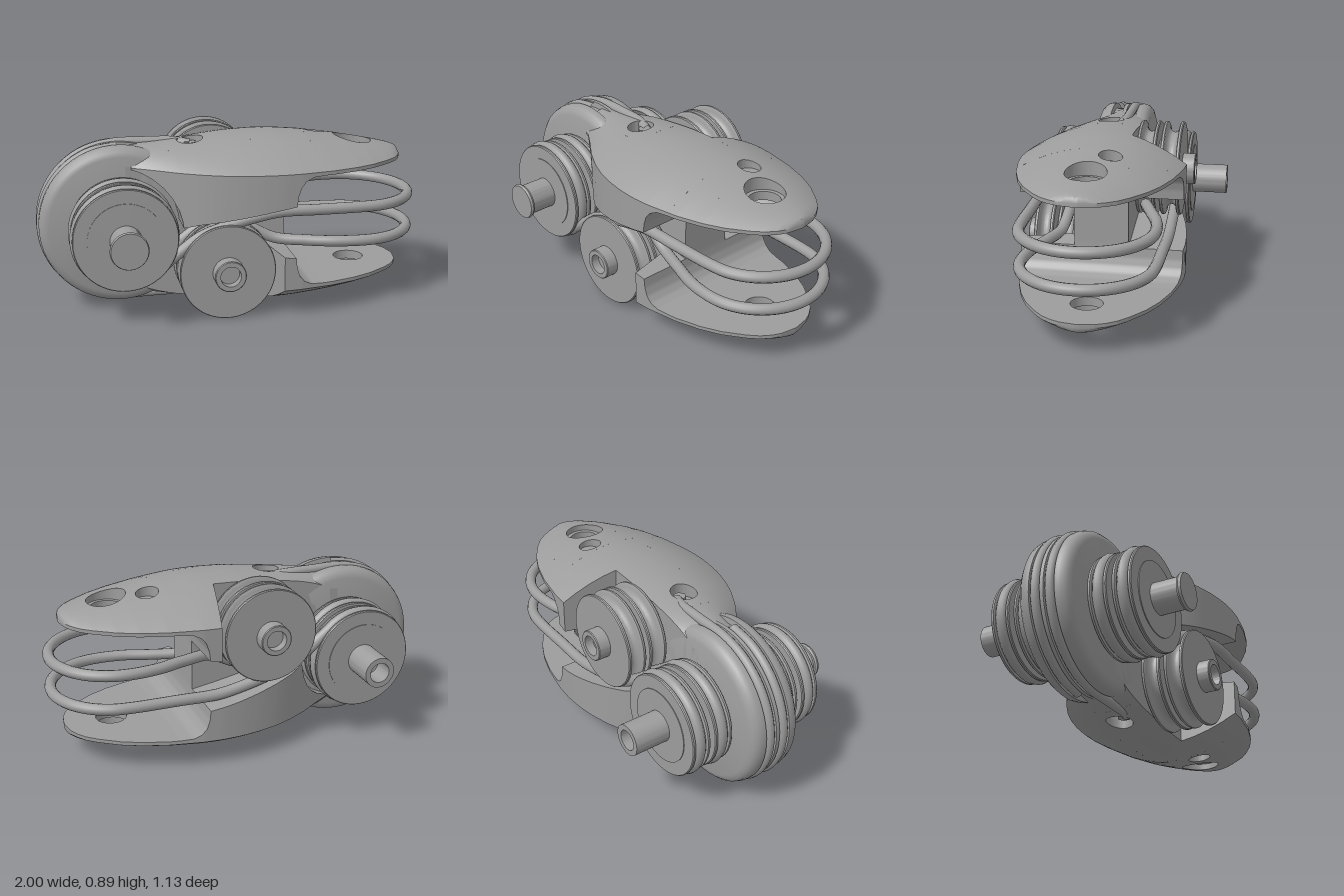
import * as THREE from 'three';
import { toCreasedNormals } from 'three/addons/utils/BufferGeometryUtils.js';

const MID = 0.445, HUB_X = -0.58, PULLEY_X = -0.07, PULLEY_Y = 0.645, SHIFT_Z = 0.0125;
const material = new THREE.MeshStandardMaterial({ color: 0x9d9d9d });

function add(parent, name, geometry, x = 0, y = 0, z = 0) {
  const mesh = new THREE.Mesh(geometry, material);
  mesh.name = name;
  mesh.position.set(x, y, z);
  parent.add(mesh);
}

// piecewise interpolation through [x, value] pairs
function curve(pairs) {
  return (x) => {
    if (x <= pairs[0][0]) return pairs[0][1];
    for (let i = 1; i < pairs.length; i++) {
      const [a, va] = pairs[i - 1], [b, vb] = pairs[i];
      if (x <= b) return va + ((vb - va) * (x - a)) / (b - a);
    }
    return pairs[pairs.length - 1][1];
  };
}

// shell outline seen from above, and its ridge height
const halfWidth = curve([[-0.6, 0.14], [-0.5, 0.15], [-0.4, 0.215], [-0.3, 0.285], [-0.19, 0.345], [-0.1, 0.38],
  [0, 0.406], [0.1, 0.421], [0.2, 0.425], [0.3, 0.417], [0.47, 0.385], [0.6, 0.343], [0.7, 0.295], [0.8, 0.225],
  [0.85, 0.18], [0.885, 0.13], [0.905, 0.085], [0.92, 0]]);
const ridge = curve([[-0.6, 0.835], [-0.4, 0.845], [-0.2, 0.862], [0, 0.881], [0.15, 0.886], [0.25, 0.884], [0.4, 0.87],
  [0.6, 0.84], [0.8, 0.803], [0.88, 0.785], [0.91, 0.772], [0.92, 0.75]]);
const BASE = 0.747, JAW = 0.728;
function topY(x, z) {
  const t = Math.min(1, Math.abs(z) / Math.max(halfWidth(x), 1e-4));
  return BASE + (ridge(x) - BASE) * (1 - t * t);
}

// skin over closed loops of points
function skin(rows, closed = false) {
  const n = rows[0].length, index = [];
  const last = closed ? rows.length : rows.length - 1;
  for (let i = 0; i < last; i++) {
    for (let j = 0; j < n; j++) {
      const a = i * n + j, b = i * n + ((j + 1) % n);
      const k = (i + 1) % rows.length, c = k * n + j, d = k * n + ((j + 1) % n);
      index.push(a, b, c, b, d, c);
    }
  }
  const g = new THREE.BufferGeometry();
  g.setAttribute('position', new THREE.Float32BufferAttribute(rows.flat(2), 3));
  g.setIndex(index);
  return toCreasedNormals(g, 0.5);
}

// strip of shell running along x, between two z limits and above a lower profile
function strip(profile, zLow, zHigh) {
  const stations = [];
  profile.forEach(([x, y], i) => {
    if (i) {
      const [px, py] = profile[i - 1];
      for (let s = 1; s < 4; s++) stations.push([px + ((x - px) * s) / 4, py + ((y - py) * s) / 4]);
    }
    stations.push([x, y]);
  });
  const N = 18;
  const section = ([x, yb], flat) => {
    const top = [], bottom = [];
    for (let j = 0; j <= N; j++) {
      const z = zLow(x) + (zHigh(x) - zLow(x)) * (0.5 - 0.5 * Math.cos((Math.PI * j) / N));
      const yt = Math.max(topY(x, z), yb + 0.002);
      top.push([x, flat ? (yt + yb) / 2 : yt, z]);
      bottom.unshift([x, flat ? (yt + yb) / 2 : yb, z]);
    }
    return top.concat(bottom);
  };
  const rows = stations.map((s) => section(s, false));
  return skin([section(stations[0], true), ...rows, section(stations[stations.length - 1], true)]);
}

// piece of shell spreading out from a hole; bore is [radius, y] from the inside up
function boredPlate(cx, cz, bore, bottom, x0, x1, width) {
  const count = 240;
  const reach = Array.from({ length: count }, (_, i) => {
    const a = (i / count) * Math.PI * 2;
    let lo = 0, hi = 0.8;
    for (let s = 0; s < 30; s++) {
      const r = (lo + hi) / 2, x = cx + r * Math.cos(a), z = cz + r * Math.sin(a);
      if (x > x0 && x < x1 && Math.abs(z) < width(x)) lo = r; else hi = r;
    }
    return lo;
  });
  const row = (radius, height) => reach.map((limit, i) => {
    const a = (i / count) * Math.PI * 2, r = radius(limit);
    const x = cx + r * Math.cos(a), z = cz + r * Math.sin(a);
    return [x, height(x, z), z];
  });
  const rows = [[bore[0][0], bottom], ...bore].map(([r, y]) => row(() => r, () => y));
  const rim = bore[bore.length - 1][0];
  for (let k = 0; k <= 12; k++) {
    const t = Math.sin((k / 12) * Math.PI / 2);
    rows.push(row((limit) => rim + (limit - rim) * t, topY));
  }
  rows.push(row((limit) => limit, () => bottom));
  return skin(rows, true);
}

// turned part with its axis along z; points are [radius, z]
function turned(points) {
  const g = new THREE.LatheGeometry(points.map(([r, z]) => new THREE.Vector2(r, z)), 64);
  g.rotateX(Math.PI / 2);
  return toCreasedNormals(g, 0.5);
}

// grooved wheel
function sheave(R, groove) {
  const p = [[0, -0.051], [R - 0.004, -0.051], [R, -0.046], [R, -0.036]];
  for (let i = 0; i <= 10; i++) {
    const a = (i / 10) * Math.PI;
    p.push([R - 0.006 - groove * Math.sin(a), -0.032 * Math.cos(a)]);
  }
  p.push([R, 0.036], [R, 0.046], [R - 0.004, 0.051], [0, 0.051]);
  return turned(p);
}

function tube(points, radius, segments) {
  const path = new THREE.CatmullRomCurve3(points.map((p) => new THREE.Vector3(...p)), false, 'centripetal');
  return new THREE.TubeGeometry(path, segments, radius, 12);
}

function arc(r, from, to, z) {
  return Array.from({ length: 9 }, (_, i) => {
    const a = THREE.MathUtils.degToRad(from + ((to - from) * i) / 8);
    return [HUB_X + r * Math.cos(a), MID + r * Math.sin(a), z];
  });
}

function createHalf() {
  const half = new THREE.Group();
  const mouth = [[0.27, 0.58], [0.275, 0.63], [0.29, 0.675], [0.315, 0.705], [0.355, 0.724], [0.42, JAW]];

  // shell: middle, full side and the side cut back for the pulley
  const left = () => -0.14, right = () => 0.14;
  add(half, 'shellRear', strip([[-0.55, MID], [-0.45, MID], [-0.31, MID]], left, right));
  add(half, 'shellAnchorPocket', boredPlate(-0.205, 0.0275, [[0, 0.79], [0.068, 0.79], [0.068, 0.845]], MID,
    -0.33, -0.07, right));
  add(half, 'shellCore', strip([[-0.09, MID], [0.1, MID], [0.27, MID], ...mouth], left, right));
  const clearance = [-0.52, -0.47, -0.42, -0.37, -0.33, -0.3, -0.285]
    .map((x) => [x, MID + Math.sqrt(0.09 - (x - HUB_X) ** 2)]);
  add(half, 'shellSide', strip([...clearance, [-0.28, 0.465], [-0.2, 0.49], [0, 0.53], [0.15, 0.56], ...mouth],
    right, (x) => Math.max(0.141, halfWidth(x))));
  add(half, 'shellCutSide', strip([[0.15, 0.56], [0.21, 0.57], ...mouth],
    (x) => -Math.min(halfWidth(x), 0.14 + ((x - 0.15) / 0.06) * 0.285), left));

  // jaw: plate with a round pocket, then the tip with a counterbored hole
  add(half, 'jawPocket', boredPlate(0.48, -0.085, [[0, 0.81], [0.058, 0.81], [0.058, 0.84]], JAW, 0.4, 0.565, halfWidth));
  add(half, 'jawTip', boredPlate(0.67, 0, [[0.08, JAW], [0.08, 0.775], [0.1, 0.775]], JAW, 0.55, 0.92, halfWidth));

  // idler pulley
  const pulley = new THREE.Group();
  pulley.name = 'idlerPulley';
  pulley.position.set(PULLEY_X, PULLEY_Y, 0);
  for (const z of [-0.205, -0.328]) add(pulley, 'idlerWheel', sheave(0.245, 0.05), 0, 0, z);
  add(pulley, 'idlerSpacer', turned([[0, -0.3], [0.15, -0.3], [0.15, -0.1], [0, -0.1]]));
  add(pulley, 'idlerAxle', turned([[0, -0.4], [0.052, -0.4], [0.052, -0.445], [0.076, -0.445], [0.08, -0.441],
    [0.08, -0.1], [0, -0.1]]));
  half.add(pulley);

  // looped wire from hub to hub round the open end
  const bend = Array.from({ length: 11 }, (_, i) => {
    const a = (0.5 - i / 10) * Math.PI;
    return [0.645 + 0.326 * Math.cos(a), 0.535, 0.326 * Math.sin(a)];
  });
  add(half, 'wireLoop', tube([
    ...arc(0.24, 200, 312, 0.335), [-0.3, 0.36, 0.335], [-0.2, 0.43, 0.335], [-0.07, 0.475, 0.335], [0.06, 0.51, 0.335],
    [0.2, 0.535, 0.335], [0.4, 0.535, 0.332], ...bend, [0.5, 0.535, -0.312], [0.35, 0.535, -0.265],
    [0.2, 0.525, -0.22], [0.06, 0.46, -0.205], [-0.07, 0.425, -0.205], [-0.2, 0.46, -0.205], [-0.3, 0.53, -0.205],
    ...arc(0.24, 48, 160, -0.205)], 0.029, 260));

  // cable from its anchor round the rim of the hub
  add(half, 'rimCable', tube([[-0.2, 0.825, -0.01], [-0.28, 0.838, -0.035], [-0.42, 0.842, -0.04],
    ...arc(0.395, 95, 270, -0.04)], 0.025, 90));
  add(half, 'cableStop', new THREE.CylinderGeometry(0.035, 0.035, 0.06, 6), -0.2, 0.81, 0.005);

  // hub wheels with the wire wrapped in them
  for (const z of [0.205, 0.335]) {
    add(half, 'hubWheel', sheave(0.262, 0.035), HUB_X, MID, z);
    add(half, 'wrappedWire', new THREE.TorusGeometry(0.24, 0.031, 12, 64), HUB_X, MID, z);
  }
  add(half, 'hubSpacer', turned([[0, 0.1], [0.19, 0.1], [0.19, 0.39], [0, 0.39]]), HUB_X, MID);
  return half;
}

export function createModel() {
  const model = new THREE.Group();
  model.name = 'pulleyGripper';

  // the two halves are the same part turned over
  const upper = createHalf();
  upper.name = 'upperHalf';
  upper.position.z = SHIFT_Z;
  const lower = upper.clone();
  lower.name = 'lowerHalf';
  lower.rotation.x = Math.PI;
  lower.position.y = 2 * MID;
  model.add(upper, lower);

  // hub disc with two cable grooves
  add(model, 'hubDisc', turned([[0, -0.14], [0.36, -0.14], [0.385, -0.132], [0.402, -0.115], [0.41, -0.09], [0.41, -0.07],
    [0.38, -0.066], [0.38, -0.014], [0.41, -0.01], [0.41, 0.01], [0.38, 0.014], [0.38, 0.066], [0.41, 0.07], [0.41, 0.09],
    [0.402, 0.115], [0.385, 0.132], [0.36, 0.14], [0, 0.14]]), HUB_X, MID, SHIFT_Z);

  // hub shaft: hollow at the back, headed at the front
  add(model, 'hubShaft', turned([[0, -0.45], [0.052, -0.45], [0.052, -0.567], [0.08, -0.567], [0.08, 0.54], [0.09, 0.542],
    [0.095, 0.553], [0.09, 0.565], [0, 0.565]]), HUB_X, MID);
  return model;
}
